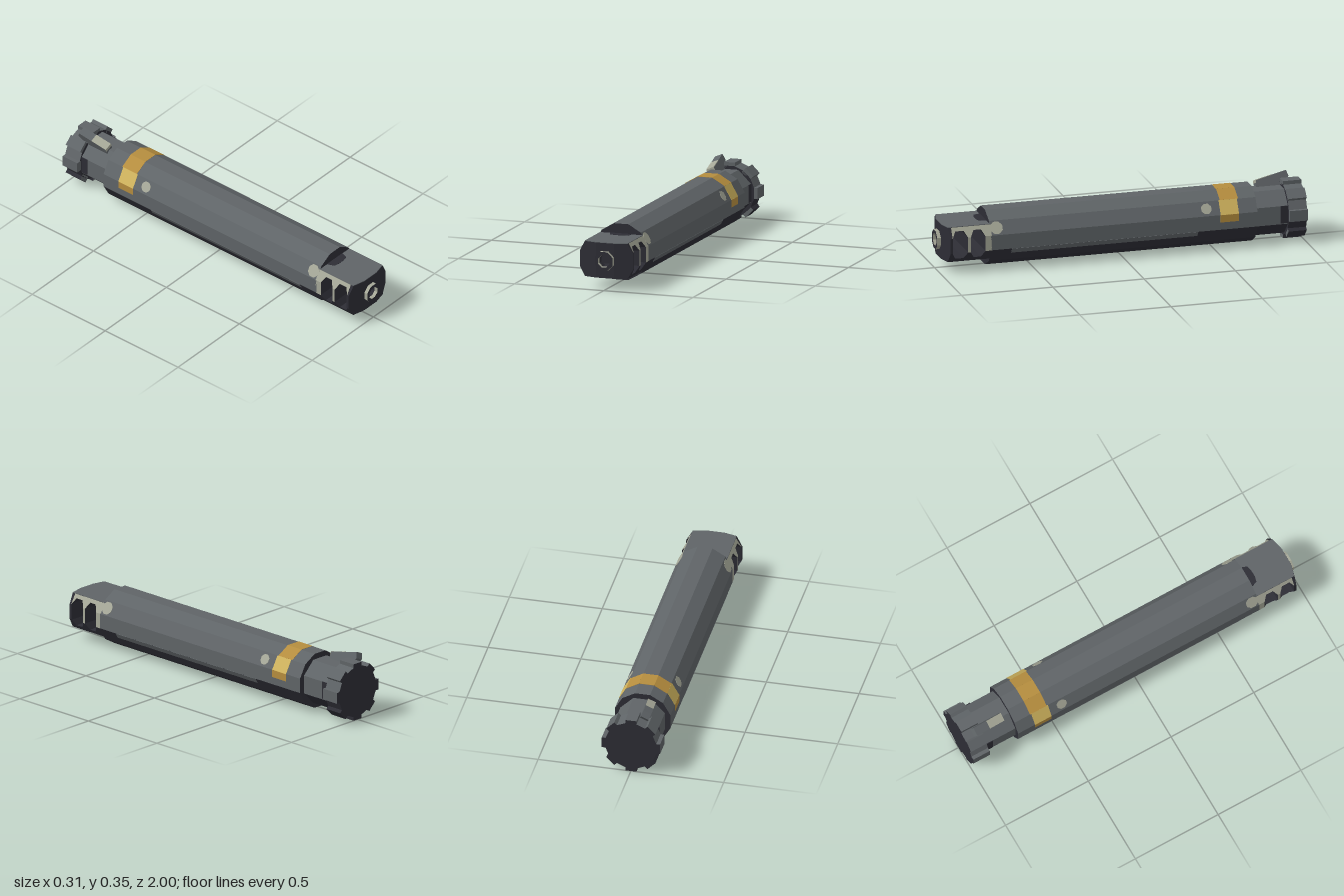
import * as THREE from 'three';

const C = 0.157;            // height of the long axis
const RAD = Math.PI / 180;

function mat(name, color) {
  const m = new THREE.MeshStandardMaterial({ color });
  m.name = name;
  return m;
}

export function createModel() {
  const root = new THREE.Group();
  root.name = 'barrelAttachment';
  const grey = mat('steelGrey', 0x5f6467);
  const dark = mat('darkSteel', 0x2d2d35);
  const tan = mat('wornMetal', 0xa6a898);
  const gold = mat('goldBand', 0xb58d3e);
  const paleGold = mat('paleGold', 0xd0b45e);

  function add(name, geo, material, parent = root) {
    const mesh = new THREE.Mesh(geo, material);
    mesh.name = name;
    parent.add(mesh);
    return mesh;
  }
  function flat(geo) {
    const g = geo.index ? geo.toNonIndexed() : geo;
    g.computeVertexNormals();
    return g;
  }
  const shapeOf = pts => new THREE.Shape(pts.map(p => new THREE.Vector2(p[0], p[1])));
  const extrude = (shape, depth) => new THREE.ExtrudeGeometry(shape, { depth, bevelEnabled: false });

  // Faceted prism along z: grey upper facets, dark lower facets and caps
  function prism(name, n, apothem, z0, z1, lower) {
    const r = apothem / Math.cos(Math.PI / n);
    const step = 2 * Math.PI / n;
    const half = lower * step / 2;
    const parts = [['Upper', half, n - lower, grey], ['Lower', -half, lower, dark]];
    for (const [suffix, start, count, m] of parts) {
      const g = new THREE.CylinderGeometry(r, r, z1 - z0, count, 1, true, start, count * step);
      g.rotateX(Math.PI / 2).translate(0, C, (z0 + z1) / 2);
      add(name + suffix, flat(g), m);
    }
    const front = new THREE.CircleGeometry(r, n, step / 2);
    add(name + 'FrontCap', front.clone().translate(0, C, z1), dark);
    add(name + 'RearCap', front.rotateY(Math.PI).translate(0, C, z0), dark);
  }
  prism('body', 12, 0.15, -0.725, 0.735, 5);
  prism('neck', 8, 0.12, -0.905, -0.725, 3);
  prism('collar', 16, 0.138, -1, -0.9, 7);

  // Thin paint plate on a body facet (angle measured from +x)
  function facetPlate(name, angle, geo, z, shift, material) {
    const pivot = new THREE.Group();
    pivot.name = name + 'Mount';
    pivot.position.set(0, C, z);
    pivot.rotation.z = angle * RAD;
    add(name, geo, material, pivot).position.set(0.15, shift, 0);
    root.add(pivot);
  }
  const T = 0.003;
  for (const side of [1, -1]) {
    const at = a => (side > 0 ? a : 180 - a);
    facetPlate('bandShoulder', at(60), new THREE.BoxGeometry(T, 0.081, 0.1), -0.58, 0, gold);
    facetPlate('bandFlank', at(30), new THREE.BoxGeometry(T, 0.081, 0.1), -0.573, 0, paleGold);
    facetPlate('bandEnd', at(0), new THREE.BoxGeometry(T, 0.04, 0.1), -0.573, side * 0.02, gold);
    for (const [z, r] of [[-0.45, 0.03], [0.7, 0.036]]) {
      const spot = new THREE.CylinderGeometry(r, r, T, 8, 1, false, Math.PI / 8);
      facetPlate('wornSpot', at(30), flat(spot.rotateZ(Math.PI / 2)), z, 0, tan);
    }
    facetPlate('lowerStrip', at(-30), new THREE.BoxGeometry(T, 0.03, 1.02), 0.11, side * 0.025, grey);
    const recess = add('neckSidePlate', new THREE.BoxGeometry(0.006, 0.095, 0.04), dark);
    recess.position.set(side * 0.12, C + 0.003, -0.88);
  }
  facetPlate('bandTop', 90, new THREE.BoxGeometry(T, 0.081, 0.1), -0.58, 0, gold);

  // Eight grip lugs round the rear collar
  for (let i = 0; i < 8; i++) {
    const a = i * Math.PI / 4;
    const m = Math.sin(a) > -0.1 ? grey : dark;
    const lug = add('collarLug', new THREE.BoxGeometry(0.032, 0.06, 0.1), [m, m, m, m, grey, dark]);
    lug.position.set(0.141 * Math.cos(a), C + 0.141 * Math.sin(a), -0.95);
    lug.rotation.z = a;
  }

  // Locking lever leaning over the neck
  const lever = new THREE.Group();
  lever.name = 'lockingLever';
  lever.position.y = C;
  lever.rotation.z = 22.5 * RAD;
  root.add(lever);
  const leverShape = shapeOf([[-0.77, 0.118], [-0.77, 0.157], [-0.94, 0.197], [-0.952, 0.165], [-0.91, 0.118]]);
  add('leverBlock', extrude(leverShape, 0.045).rotateY(-Math.PI / 2).translate(0.0225, 0, 0), grey, lever);
  const wear = shapeOf([[-0.768, 0.142], [-0.768, 0.159], [-0.86, 0.18], [-0.86, 0.177], [-0.771, 0.156], [-0.771, 0.142]]);
  add('leverWear', extrude(wear, 0.045).rotateY(-Math.PI / 2).translate(0.0225, 0, 0), tan, lever);

  // Ported nose: comb-shaped top and bottom, tapered to follow the body facets
  const comb = [[0.73, 0.041], [0.765, 0.041], [0.785, 0.075], [0.825, 0.075], [0.845, 0.041],
    [0.86, 0.041], [0.88, 0.075], [0.925, 0.075], [0.945, 0.041], [0.945, 0.094], [0.73, 0.094]];
  for (const s of [1, -1]) {
    const g = extrude(shapeOf(comb.map(([z, y]) => [z, y * s])), 0.3);
    g.rotateY(-Math.PI / 2).translate(0.15, 0, 0);
    const p = g.attributes.position;
    for (let i = 0; i < p.count; i++) {
      const w = 0.15 - (Math.abs(p.getY(i)) - 0.041) * 0.577;
      p.setX(i, Math.sign(p.getX(i)) * w);
    }
    g.translate(0, C, 0);
    add(s > 0 ? 'noseUpper' : 'noseLower', flat(g), s > 0 ? [tan, dark] : dark);
  }
  for (const [z0, z1] of [[0.73, 0.765], [0.845, 0.86]]) {
    const wall = add('portWall', new THREE.BoxGeometry(0.3, 0.082, z1 - z0), [tan, tan, dark, dark, dark, dark]);
    wall.position.set(0, C, (z0 + z1) / 2);
  }

  // Front wall: bored centre and two swept-back cheeks
  const octagon = apothem => [...Array(8).keys()].map(i => {
    const a = (i + 0.5) * Math.PI / 4, r = apothem / Math.cos(Math.PI / 8);
    return new THREE.Vector2(r * Math.cos(a), r * Math.sin(a));
  });
  const centre = shapeOf([[-0.05, -0.094], [0.05, -0.094], [0.05, 0.094], [-0.05, 0.094]]);
  centre.holes.push(new THREE.Path(octagon(0.032)));
  add('frontWall', extrude(centre, 0.037).translate(0, C, 0.943), dark);
  for (const s of [1, -1]) {
    const cheek = shapeOf([[0.05, -0.094], [0.119, -0.094], [0.15, -0.041], [0.15, 0.041],
      [0.119, 0.094], [0.05, 0.094]].map(([x, y]) => [x * s, y]));
    const g = extrude(cheek, 0.037).translate(0, C, 0.943);
    const p = g.attributes.position;
    for (let i = 0; i < p.count; i++) {
      if (p.getZ(i) > 0.96) p.setZ(i, 0.98 - (Math.abs(p.getX(i)) - 0.05) * 0.24);
    }
    add('frontCheek', flat(g), dark);
  }

  // Muzzle ring
  const ring = new THREE.Shape(octagon(0.05));
  ring.holes.push(new THREE.Path(octagon(0.032)));
  add('muzzleRing', extrude(ring, 0.022).translate(0, C, 0.978), [dark, tan]);

  // Grey skin on the nose top with a dark patch beside the body
  const skin = shapeOf([[-0.119, 0.735], [0.119, 0.735], [0.119, 0.962], [0.05, 0.979], [-0.05, 0.979], [-0.119, 0.962]]);
  add('noseTopPlate', extrude(skin, 0.004).rotateX(Math.PI / 2).translate(0, C + 0.097, 0), grey);
  const patch = shapeOf([[-0.062, 0.735], [0.062, 0.735], [0.05, 0.772], [0.02, 0.78], [-0.02, 0.78], [-0.05, 0.772]]);
  add('noseTopPatch', extrude(patch, 0.003).rotateX(Math.PI / 2).translate(0, C + 0.099, 0), dark);

  return root;
}
